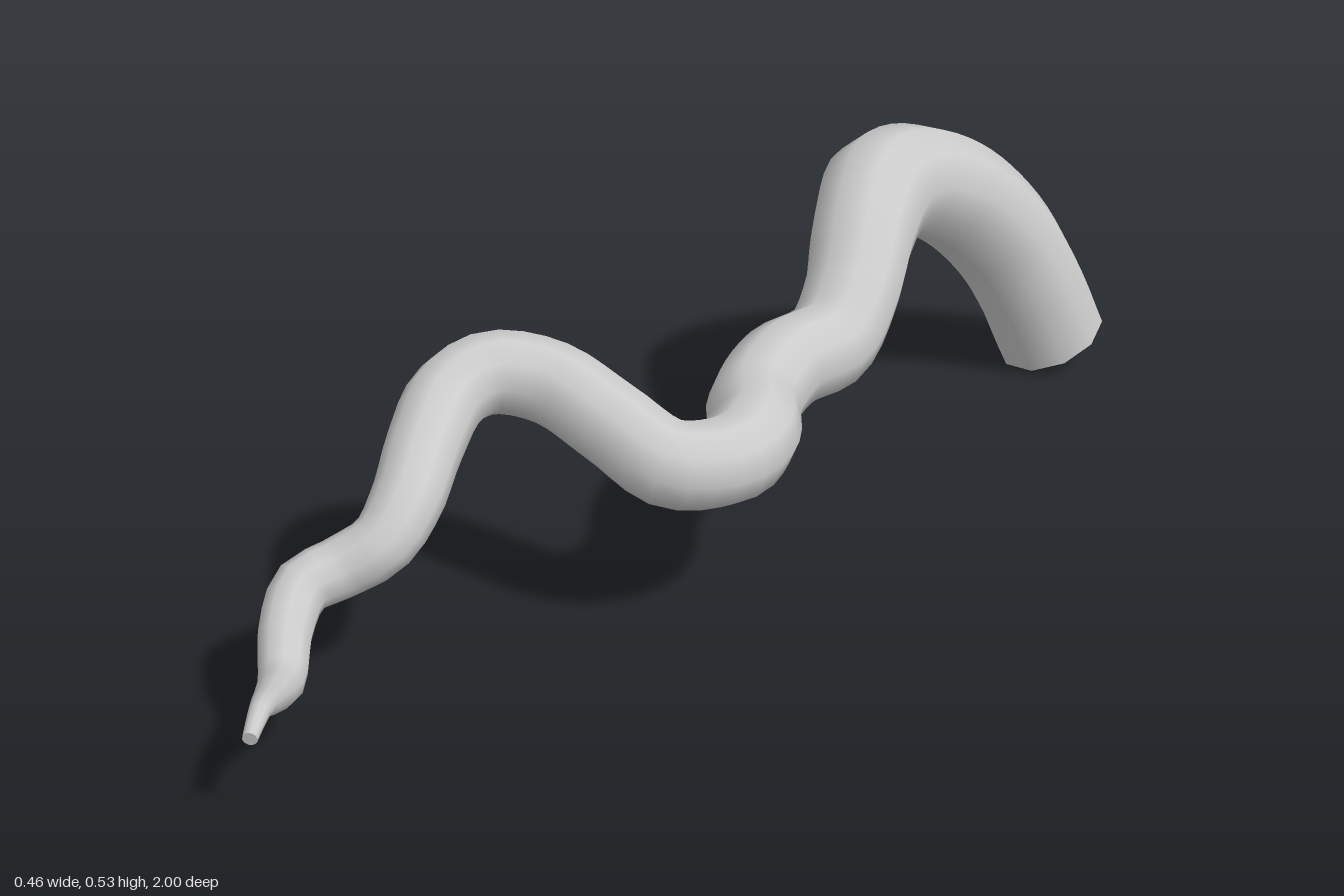
import * as THREE from 'three';

// Centre line with radius: x, y, z, r, from the thick root to the tip
const SPINE = [
  [-0.05, 0.045, -0.912, 0.098],
  [-0.068, 0.16, -0.862, 0.098],
  [-0.088, 0.26, -0.805, 0.098],
  [-0.108, 0.365, -0.70, 0.097],
  [-0.117, 0.423, -0.585, 0.097],
  [-0.102, 0.435, -0.49, 0.097],
  [-0.06, 0.405, -0.405, 0.088],
  [-0.01, 0.34, -0.32, 0.08],
  [0.018, 0.288, -0.235, 0.076],
  [0.023, 0.288, -0.12, 0.074],
  [0.065, 0.278, -0.01, 0.074],
  [0.135, 0.278, 0.07, 0.072],
  [0.16, 0.275, 0.15, 0.07],
  [0.12, 0.285, 0.235, 0.068],
  [0.02, 0.325, 0.257, 0.066],
  [-0.09, 0.365, 0.28, 0.065],
  [-0.155, 0.38, 0.34, 0.064],
  [-0.167, 0.365, 0.41, 0.062],
  [-0.13, 0.325, 0.495, 0.058],
  [-0.09, 0.275, 0.57, 0.054],
  [-0.085, 0.23, 0.625, 0.049],
  [-0.118, 0.198, 0.68, 0.046],
  [-0.135, 0.183, 0.735, 0.044],
  [-0.108, 0.15, 0.79, 0.041],
  [-0.06, 0.108, 0.84, 0.036],
  [-0.015, 0.122, 0.895, 0.025],
  [0.025, 0.142, 0.945, 0.016],
  [0.062, 0.133, 0.994, 0.011],
];
const RINGS = 96;
const SIDES = 10;

export function createModel() {
  const group = new THREE.Group();
  group.name = 'tentacle';
  const material = new THREE.MeshStandardMaterial({ color: 0xcccccc, side: THREE.DoubleSide });

  const curve = new THREE.CatmullRomCurve3(SPINE.map(([x, y, z]) => new THREE.Vector3(x, y, z)));

  // Radius at a fraction of the arc length
  const radiusAt = (u) => {
    const f = curve.getUtoTmapping(u) * (SPINE.length - 1);
    const i = Math.min(Math.floor(f), SPINE.length - 2);
    return THREE.MathUtils.lerp(SPINE[i][3], SPINE[i + 1][3], f - i);
  };

  // Tapering body, open at the root
  const body = new THREE.TubeGeometry(curve, RINGS, 1, SIDES, false);
  const { position, normal } = body.attributes;
  const p = new THREE.Vector3();
  const n = new THREE.Vector3();
  for (let i = 0; i <= RINGS; i++) {
    const centre = curve.getPointAt(i / RINGS);
    const radius = radiusAt(i / RINGS);
    for (let j = 0; j <= SIDES; j++) {
      const k = i * (SIDES + 1) + j;
      n.fromBufferAttribute(normal, k);
      p.copy(centre).addScaledVector(n, radius);
      position.setXYZ(k, p.x, p.y, p.z);
    }
  }
  body.computeBoundingSphere();
  const bodyMesh = new THREE.Mesh(body, material);
  bodyMesh.name = 'body';
  group.add(bodyMesh);

  // Small flat end closing the tip
  const tip = new THREE.Mesh(new THREE.CircleGeometry(radiusAt(1), SIDES), material);
  tip.name = 'tip';
  tip.position.copy(curve.getPointAt(1));
  tip.quaternion.setFromUnitVectors(new THREE.Vector3(0, 0, 1), curve.getTangentAt(1));
  group.add(tip);

  return group;
}
